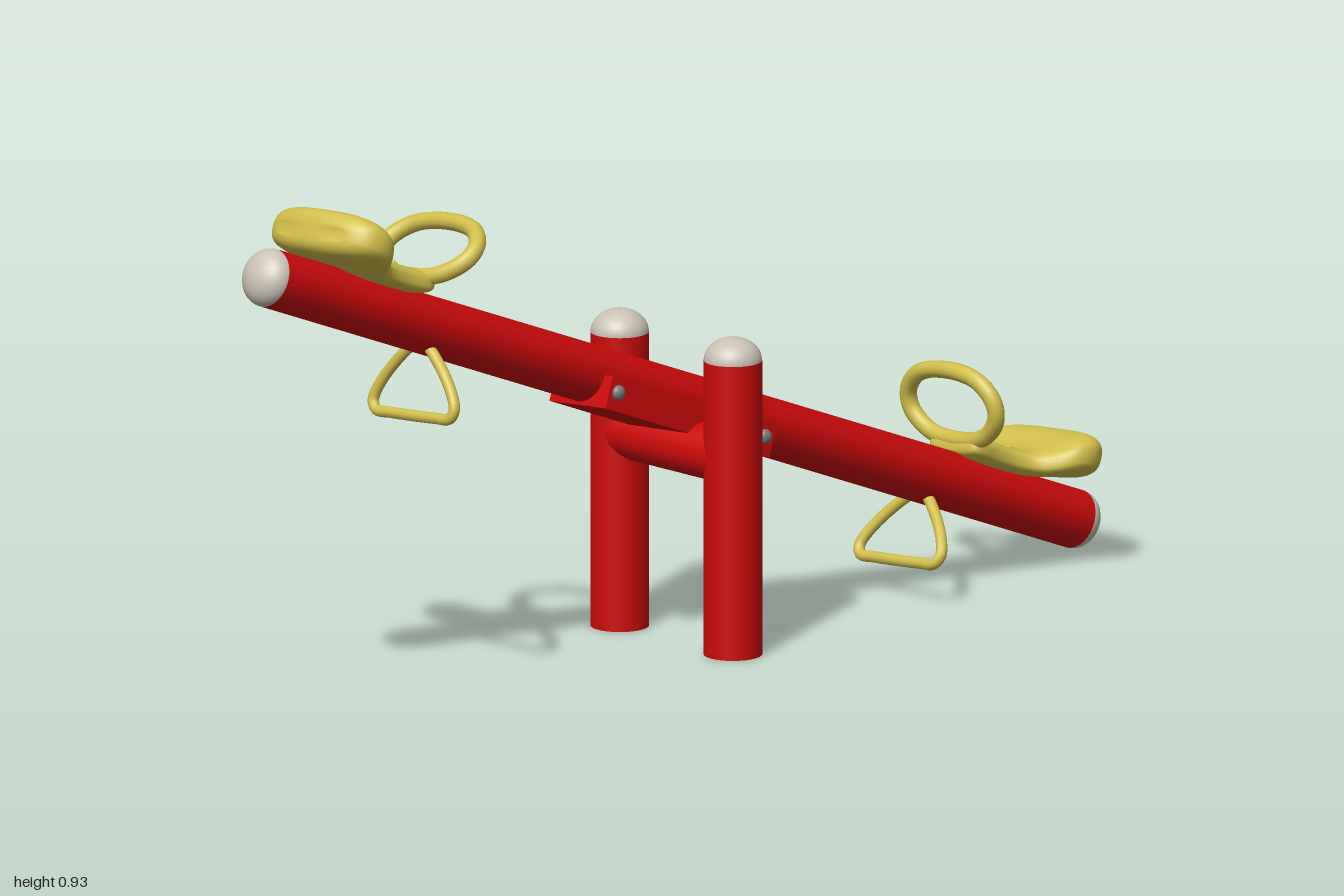
import * as THREE from 'three';

const mat = (color, side = THREE.FrontSide) => new THREE.MeshStandardMaterial({ color, side });
const red = mat(0xcc0a0a), yellow = mat(0xd2be4c), ivory = mat(0xcac2b4), steel = mat(0x777777);

function add(parent, name, geometry, material, x = 0, y = 0, z = 0) {
  const mesh = new THREE.Mesh(geometry, material);
  mesh.name = name;
  mesh.position.set(x, y, z);
  parent.add(mesh);
  return mesh;
}

// Half-ellipsoid cap, dome along +y
function domeGeometry(radius, height) {
  return new THREE.SphereGeometry(1, 32, 12, 0, Math.PI * 2, 0, Math.PI / 2).scale(radius, height, radius);
}

// Closed bent rod through [x, y, z] points
function loopRod(points, radius) {
  const curve = new THREE.CatmullRomCurve3(points.map(p => new THREE.Vector3(...p)), true, 'centripetal');
  return new THREE.TubeGeometry(curve, 72, radius, 12, true);
}

// Seat shell: rounded sections along x, [x, half width, bottom, top]
function seatGeometry() {
  const stations = [
    [0.692, 0.045, 0.058, 0.074], [0.698, 0.060, 0.05, 0.083], [0.715, 0.066, 0.045, 0.088],
    [0.76, 0.062, 0.042, 0.089], [0.81, 0.066, 0.042, 0.088], [0.845, 0.082, 0.044, 0.093],
    [0.875, 0.112, 0.048, 0.112], [0.905, 0.133, 0.055, 0.136], [0.935, 0.139, 0.06, 0.148],
    [0.958, 0.132, 0.066, 0.145], [0.97, 0.115, 0.076, 0.132], [0.974, 0.09, 0.088, 0.118]
  ];
  const n = 40, pos = [], idx = [];
  const soft = (v, e) => Math.sign(v) * Math.abs(v) ** e;
  const curve = new THREE.CatmullRomCurve3(stations.map(s => new THREE.Vector3(s[0], s[1], s[2])));
  const tops = new THREE.CatmullRomCurve3(stations.map(s => new THREE.Vector3(s[0], s[1], s[3])));
  const rows = (stations.length - 1) * 3;
  for (let i = 0; i <= rows; i++) {
    const low = curve.getPoint(i / rows), high = tops.getPoint(i / rows);
    for (let j = 0; j < n; j++) {
      const a = j / n * Math.PI * 2;
      const z = low.y * soft(Math.cos(a), 0.65);
      const y = (low.z + high.z) / 2 + (high.z - low.z) / 2 * soft(Math.sin(a), 0.65);
      // wings sweep forward
      pos.push(low.x - 1.5 * z * z, y, z);
    }
  }
  const first = pos.length / 3, last = first + 1;
  pos.push(0.692, 0.066, 0, 0.974, 0.103, 0);
  for (let j = 0; j < n; j++) {
    const k = (j + 1) % n;
    for (let i = 0; i < rows; i++) {
      const a = i * n, b = a + n;
      idx.push(a + j, b + j, a + k, a + k, b + j, b + k);
    }
    idx.push(first, j, k, last, rows * n + k, rows * n + j);
  }
  const g = new THREE.BufferGeometry();
  g.setAttribute('position', new THREE.Float32BufferAttribute(pos, 3));
  g.setIndex(idx);
  g.computeVertexNormals();
  return g;
}

// Seat, handle and foot rest for one end, built on the +x side
function riderEnd() {
  const end = new THREE.Group();
  add(end, 'seat', seatGeometry(), yellow);
  for (const x of [0.75, 0.83])
    add(end, 'seatBolt', domeGeometry(0.011, 0.008), yellow, x, 0.087, 0);

  // Handle leans toward the middle of the beam; half outline as [z, height]
  const half = [[0.045, 0.004], [0.085, 0.02], [0.113, 0.052], [0.113, 0.085], [0.085, 0.117], [0.04, 0.132]];
  const ring = [...half, ...half.map(([z, h]) => [-z, h]).reverse()];
  const handle = add(end, 'handle', loopRod(ring.map(([z, h]) => [0, h, z]), 0.016), yellow, 0.705, 0.076, 0);
  handle.rotation.z = 0.53;

  // Triangular foot rest under the beam
  const foot = [[0.012, -0.035], [0.055, -0.068], [0.095, -0.115], [0.108, -0.145], [0.098, -0.162], [0.06, -0.164]];
  const frame = [...foot, ...foot.map(([z, y]) => [-z, y]).reverse()];
  add(end, 'footRest', loopRod(frame.map(([z, y]) => [0.645 + y * 0.15, y, z]), 0.0105), yellow);
  return end;
}

export function createModel() {
  const model = new THREE.Group();
  model.name = 'seesaw';

  // Posts with domed caps
  for (const z of [-0.15, 0.15]) {
    add(model, 'post', new THREE.CylinderGeometry(0.053, 0.053, 0.546, 32), red, 0, 0.273, z);
    add(model, 'postCap', domeGeometry(0.053, 0.043), ivory, 0, 0.546, z);
  }

  // Axle tube between the posts
  add(model, 'axle', new THREE.CylinderGeometry(0.051, 0.051, 0.3, 32), red, 0, 0.366, 0).rotation.x = Math.PI / 2;

  // Tilting assembly
  const rocker = new THREE.Group();
  rocker.name = 'rocker';
  rocker.position.set(-0.005, 0.448, -0.008);
  rocker.rotation.set(-0.09, -0.037, -0.374, 'YZX');
  model.add(rocker);

  const half = 1.033, radius = 0.054;
  add(rocker, 'beam', new THREE.CylinderGeometry(radius, radius, half * 2, 32), red).rotation.z = Math.PI / 2;
  for (const s of [-1, 1])
    add(rocker, 'beamCap', domeGeometry(radius, 0.04), ivory, s * half, 0, 0).rotation.z = -s * Math.PI / 2;

  // Saddle bracket clamped under the beam, with side bolts
  add(rocker, 'bracket', new THREE.BoxGeometry(0.42, 0.06, 0.15), red, -0.012, -0.03, 0);
  for (const x of [-0.2, 0.176])
    for (const s of [-1, 1])
      add(rocker, 'bracketBolt', domeGeometry(0.014, 0.011), steel, x, -0.026, s * 0.075).rotation.x = s * Math.PI / 2;

  // Two mirrored rider places
  const right = riderEnd(), left = riderEnd();
  left.name = 'rightPlace';
  right.name = 'leftPlace';
  left.rotation.y = Math.PI;
  left.position.x = right.position.x = 0.008;
  rocker.add(right, left);
  return model;
}
